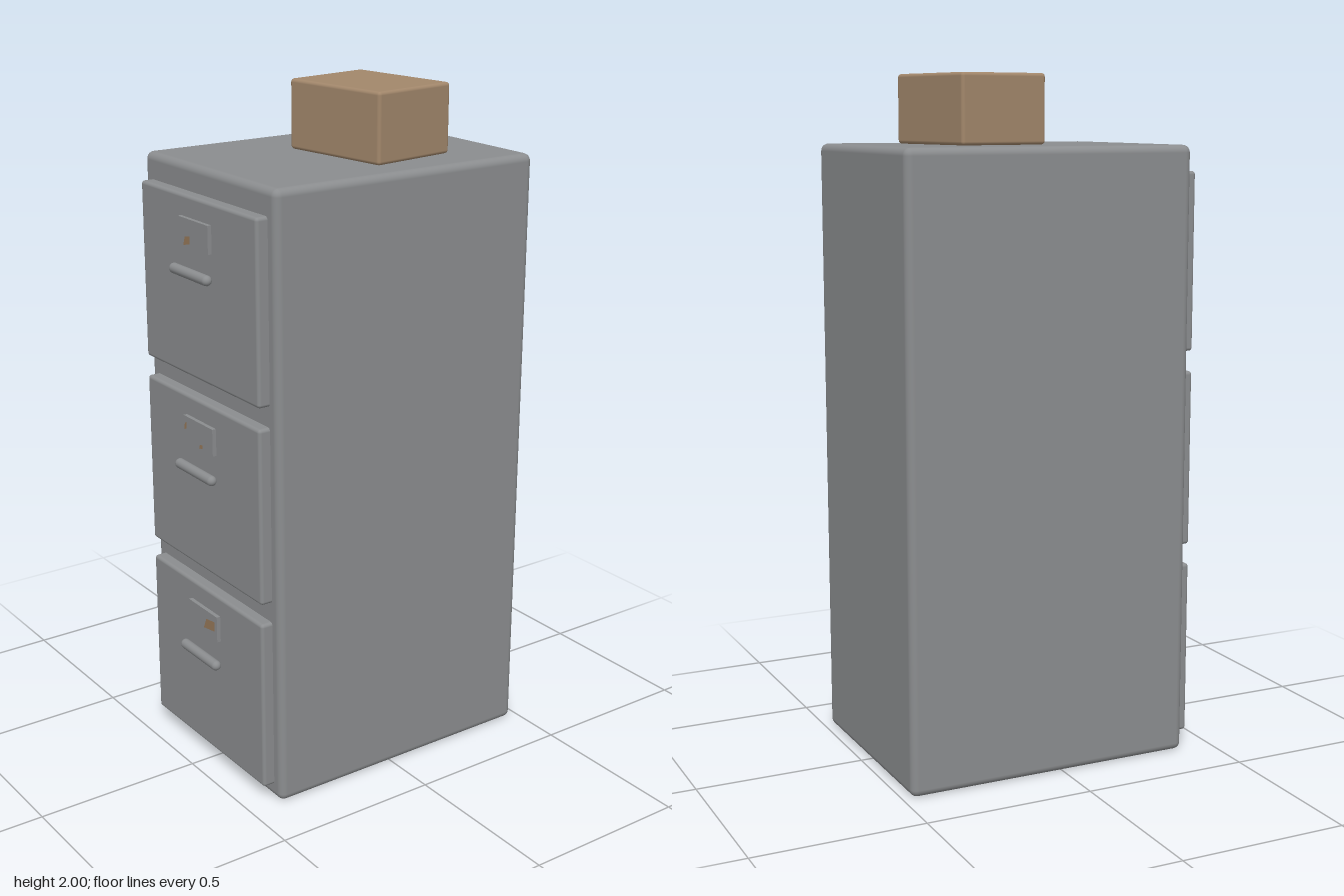
import * as THREE from 'three';
import { RoundedBoxGeometry } from 'three/addons/geometries/RoundedBoxGeometry.js';

const material = (name, color) => {
  const m = new THREE.MeshStandardMaterial({ color });
  m.name = name;
  return m;
};

export function createModel() {
  const steel = material('grey steel', 0x8b8d8f);
  const cardboard = material('cardboard brown', 0xa2876b);
  const rust = material('label fleck', 0x98795a);

  const add = (parent, name, geometry, mat, x, y, z) => {
    const mesh = new THREE.Mesh(geometry, mat);
    mesh.name = name;
    mesh.position.set(x, y, z);
    parent.add(mesh);
    return mesh;
  };

  const model = new THREE.Group();
  model.name = 'filingCabinet';

  // Cabinet body
  add(model, 'cabinetBody', new RoundedBoxGeometry(0.674, 1.8, 0.877, 3, 0.022), steel, 0, 0.9, -0.037);

  // Shared drawer parts
  const frontGeometry = new RoundedBoxGeometry(0.6, 0.52, 0.05, 3, 0.01);
  const labelGeometry = new THREE.BoxGeometry(0.156, 0.08, 0.016);
  const handleGeometry = new THREE.CapsuleGeometry(0.015, 0.17, 6, 16);

  // Worn flecks on each label, bottom to top: x, y, width, height
  const flecks = [
    [[0.035, 0.0, 0.06, 0.04]],
    [[-0.068, 0.01, 0.012, 0.025], [0.015, -0.03, 0.02, 0.015]],
    [[-0.033, -0.022, 0.035, 0.03]],
  ];

  // Three drawers, each with a label and a bar handle
  flecks.forEach((marks, i) => {
    const drawer = new THREE.Group();
    drawer.name = `drawer${i + 1}`;
    drawer.position.y = 0.305 + i * 0.58;
    add(drawer, 'drawerFront', frontGeometry, steel, 0, 0, 0.412);
    add(drawer, 'label', labelGeometry, steel, 0, 0.16, 0.441);
    marks.forEach(([x, y, w, h]) => {
      const shape = new THREE.Shape();
      shape.moveTo(-w / 2, -h / 2);
      shape.lineTo(w / 2, -h / 4);
      shape.lineTo(w / 2, h / 2);
      shape.lineTo(-w / 4, h / 3);
      add(drawer, 'labelFleck', new THREE.ShapeGeometry(shape), rust, x, 0.16 + y, 0.4495);
    });
    add(drawer, 'handle', handleGeometry, steel, 0, 0.052, 0.46).rotation.z = Math.PI / 2;
    model.add(drawer);
  });

  // Box resting at an angle on top
  const box = add(model, 'cardboardBox', new RoundedBoxGeometry(0.36, 0.2, 0.28, 3, 0.01), cardboard, 0.039, 1.9, -0.118);
  box.rotation.y = 0.138;

  return model;
}
